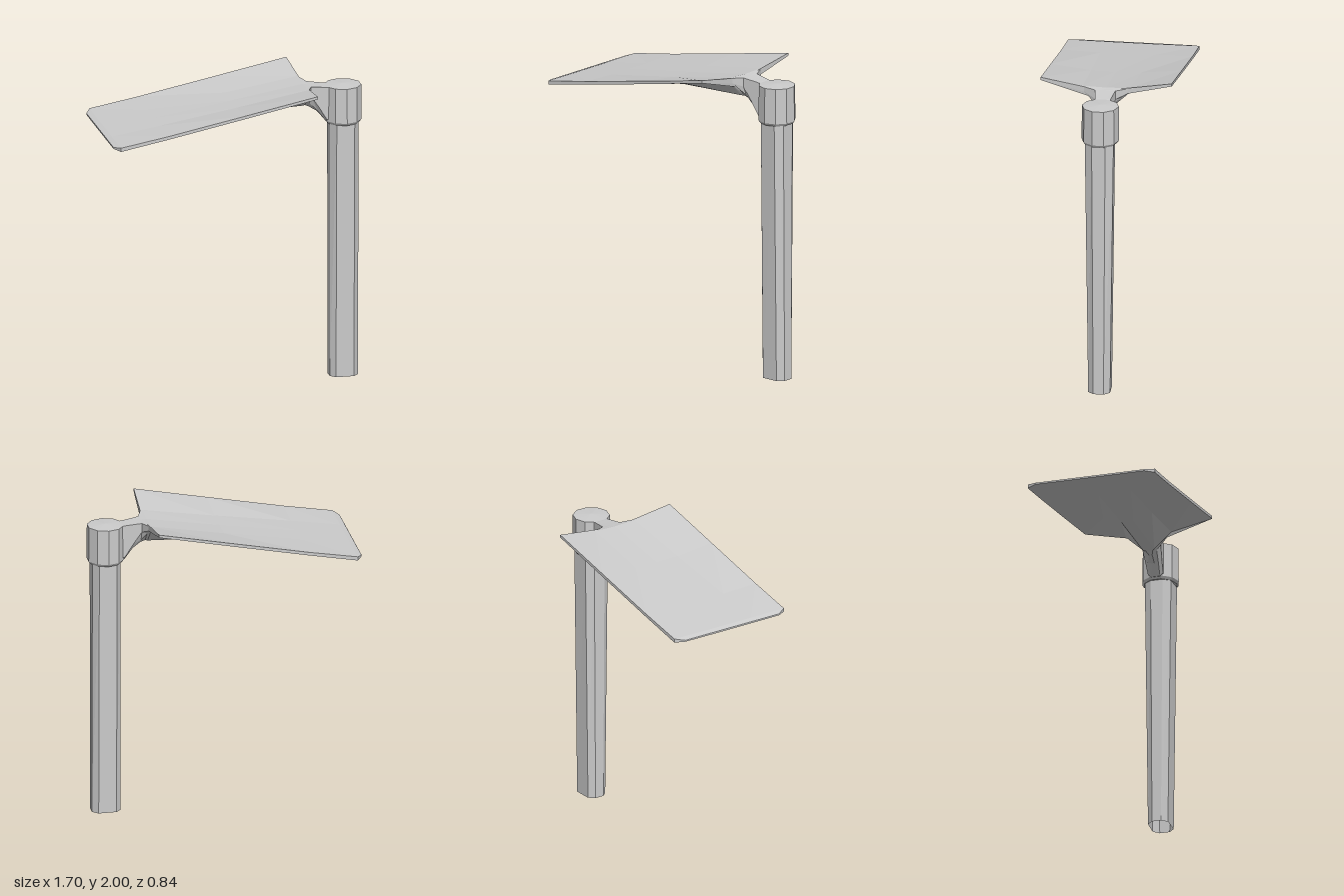
import * as THREE from 'three';

const material = new THREE.MeshStandardMaterial({ color: 0xcccccc, flatShading: true });
const openMaterial = new THREE.MeshStandardMaterial({ color: 0xcccccc, flatShading: true, side: THREE.DoubleSide });

// Skin a list of equally sized rings of [x, y, z] points; optionally close the first ring.
function loft(rings, capStart) {
  const n = rings[0].length;
  const index = [];
  for (let i = 0; i < rings.length - 1; i++) {
    for (let j = 0; j < n; j++) {
      const a = i * n + j, b = i * n + (j + 1) % n;
      index.push(a, b, b + n, a, b + n, a + n);
    }
  }
  if (capStart) for (let j = 1; j < n - 1; j++) index.push(0, j + 1, j);
  const geometry = new THREE.BufferGeometry();
  geometry.setAttribute('position', new THREE.Float32BufferAttribute(rings.flat(2), 3));
  geometry.setIndex(index);
  geometry.computeVertexNormals();
  return geometry;
}

function addPart(group, name, geometry, mat = material) {
  const mesh = new THREE.Mesh(geometry, mat);
  mesh.name = name;
  group.add(mesh);
  return mesh;
}

export function createModel() {
  const group = new THREE.Group();
  group.name = 'hoe';
  const axisX = 0.736;

  // Handle: eight-sided open shaft that widens front to back towards the head
  const outline = [[0.092, 0.033], [0.092, -0.033], [0.056, -0.07], [-0.06, -0.066],
    [-0.092, -0.03], [-0.092, 0.03], [-0.06, 0.066], [0.056, 0.07]];
  const handleRing = (y, widen) => outline.map(([x, z]) => [axisX + x, y, z * widen]);
  addPart(group, 'handle', loft([handleRing(0, 1), handleRing(1.75, 1.32)], false), openMaterial);

  // Socket: ten-sided collar with a bevelled lower rim and a slightly domed top
  const profile = [[0, 1.686], [0.108, 1.686], [0.12, 1.703], [0.118, 1.932], [0, 1.94]]
    .map(([r, y]) => new THREE.Vector2(r, y));
  addPart(group, 'socket', new THREE.LatheGeometry(profile, 10)).position.x = axisX;

  // Blade and neck: x, half width, shoulder, then top and bottom heights at edge, shoulder, middle
  const stations = [
    [-0.85, 0.36, 0.16, 1.746, 1.744, 1.744, 1.736, 1.735, 1.735],
    [-0.815, 0.42, 0.17, 1.757, 1.755, 1.755, 1.732, 1.73, 1.73],
    [-0.5, 0.42, 0.17, 1.811, 1.803, 1.803, 1.79, 1.78, 1.77],
    [0, 0.42, 0.16, 1.908, 1.88, 1.877, 1.888, 1.85, 1.805],
    [0.47, 0.42, 0.15, 2, 1.957, 1.952, 1.982, 1.925, 1.82],
    [0.483, 0.14, 0.09, 1.956, 1.953, 1.95, 1.923, 1.888, 1.818],
    [0.512, 0.065, 0.04, 1.948, 1.947, 1.947, 1.89, 1.83, 1.802],
    [0.565, 0.057, 0.035, 1.941, 1.94, 1.94, 1.81, 1.775, 1.768],
    [0.62, 0.05, 0.03, 1.934, 1.934, 1.934, 1.72, 1.7, 1.7],
    [0.67, 0.05, 0.03, 1.925, 1.925, 1.925, 1.72, 1.7, 1.7],
  ];
  const bladeRing = ([x, w, s, topE, topS, topC, botE, botS, botC]) => {
    const r = s * 0.25;
    return [[x, topE, -w], [x, topS, -s], [x, topC, 0], [x, topS, s], [x, topE, w],
      [x, botE, w], [x, botS, s], [x, botC, r], [x, botC, -r], [x, botS, -s], [x, botE, -w]];
  };
  addPart(group, 'bladeAndNeck', loft(stations.map(bladeRing), true));

  return group;
}
